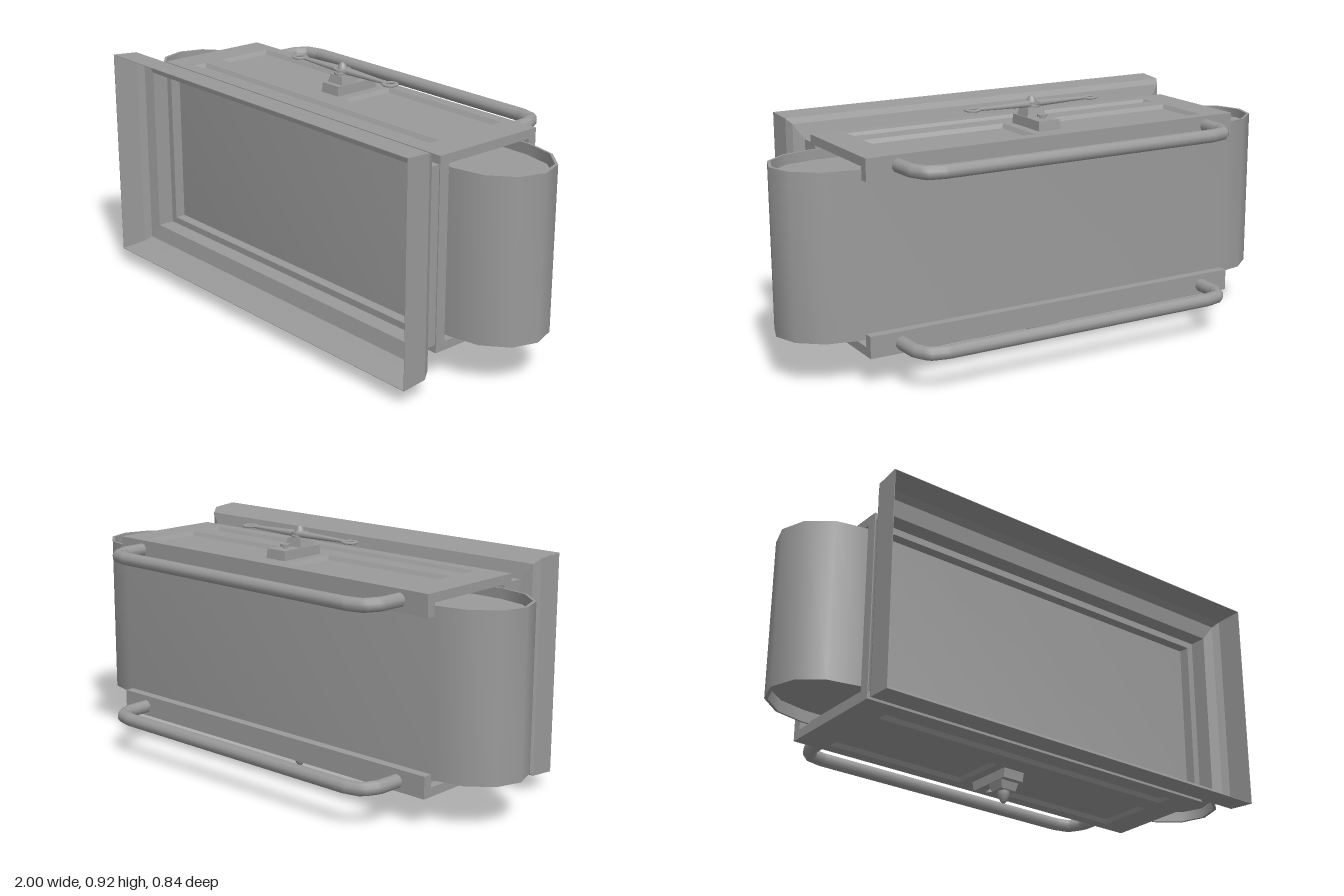
import * as THREE from 'three';
import { toCreasedNormals } from 'three/addons/utils/BufferGeometryUtils.js';

const mat = new THREE.MeshStandardMaterial({ color: 0x9a9a9a });
const CX = -0.01, CY = 0.459; // centre of the housing
const W = 0.761; // half width of the housing

function add(parent, name, geo, x = 0, y = 0, z = 0) {
  const m = new THREE.Mesh(geo, mat);
  m.name = name;
  m.position.set(x, y, z);
  parent.add(m);
  return m;
}

// Box given by its limits
function box(parent, name, x0, x1, y0, y1, z0, z1) {
  return add(parent, name, new THREE.BoxGeometry(x1 - x0, y1 - y0, z1 - z0),
    (x0 + x1) / 2, (y0 + y1) / 2, (z0 + z1) / 2);
}

// Horizontal slab: a plan drawn in (x, -z), extruded from y0 up to y1
function slab(shape, y0, y1) {
  const g = new THREE.ExtrudeGeometry(shape, { depth: y1 - y0, bevelEnabled: false, curveSegments: 3 });
  g.rotateX(-Math.PI / 2).translate(0, y0, 0);
  return toCreasedNormals(g, 0.7);
}

function rect(x0, x1, z0, z1) {
  return new THREE.Shape([[x0, -z1], [x1, -z1], [x1, -z0], [x0, -z0]].map(p => new THREE.Vector2(...p)));
}

// Four-sided block whose top is scaled by t
function frustum(w, h, d, t) {
  const r = Math.SQRT1_2;
  const g = new THREE.CylinderGeometry(r * t, r, 1, 4).rotateY(Math.PI / 4).scale(w, h, d).toNonIndexed();
  g.computeVertexNormals();
  return g;
}

// Rectangular sections [halfWidth, halfHeight, z] joined in order
function rectLoft(sections) {
  const corners = [[1, 1], [-1, 1], [-1, -1], [1, -1]];
  const pos = [];
  const pt = (s, i) => [s[0] * corners[i % 4][0], s[1] * corners[i % 4][1], s[2]];
  for (let k = 0; k < sections.length - 1; k++) {
    for (let i = 0; i < 4; i++) {
      const a = pt(sections[k], i), b = pt(sections[k], i + 1);
      const c = pt(sections[k + 1], i + 1), d = pt(sections[k + 1], i);
      pos.push(...a, ...b, ...c, ...a, ...c, ...d);
    }
  }
  const g = new THREE.BufferGeometry();
  g.setAttribute('position', new THREE.Float32BufferAttribute(pos, 3));
  g.computeVertexNormals();
  return g;
}

// Plan of the round-ended drum, shrunk by insets at the ends and sides
function drumPlan(insetX, insetZ) {
  const s = new THREE.Shape();
  const rx = 0.23 - insetX, rz = 0.187 - insetZ;
  s.absellipse(0.77, 0.008, rx, rz, -Math.PI / 2, Math.PI / 2, false);
  s.absellipse(-0.77, 0.008, rx, rz, Math.PI / 2, Math.PI * 1.5, false);
  s.closePath();
  return s;
}

// Handle line with chamfered corners
function handlePath() {
  const half = [[-0.642, -0.22], [-0.638, -0.325], [-0.61, -0.38], [-0.55, -0.395]];
  const all = [...half, ...half.map(([x, z]) => [-x, z]).reverse()].map(([x, z]) => new THREE.Vector3(x, 0, z));
  const path = new THREE.CurvePath();
  for (let i = 1; i < all.length; i++) path.add(new THREE.LineCurve3(all[i - 1], all[i]));
  return path;
}

// One end of the housing: plate, lip, handle and pivot, built facing up
function endAssembly() {
  const g = new THREE.Group();
  box(g, 'endPlate', -W, W, 0.317, 0.335, -0.235, 0.22);

  // Raised face with recessed panels and a slot, each with sloped walls
  const face = rect(-W, W, -0.235, 0.22);
  const panels = [[-0.643, -0.08, -0.19, 0.035], [0.08, 0.643, -0.19, 0.035], [-0.643, 0.643, 0.11, 0.17]];
  for (const [x0, x1, z0, z1] of panels) {
    face.holes.push(rect(x0, x1, z0, z1));
    const w = (x1 - x0) / 2, d = (z1 - z0) / 2;
    const slope = rectLoft([[w, d, 0.35], [w - 0.011, d - 0.011, 0.335]]).rotateX(-Math.PI / 2);
    add(g, 'panelSlope', slope, (x0 + x1) / 2, 0, (z0 + z1) / 2);
  }
  add(g, 'endPlateFace', slab(face, 0.335, 0.35));
  box(g, 'rearLip', -W, W, 0.27, 0.317, -0.235, -0.2);

  add(g, 'handle', new THREE.TubeGeometry(handlePath(), 120, 0.025, 10, false), 0, 0.313, 0);

  // Pivot block, stepped base, rounded pin and screw
  add(g, 'pivotBlock', frustum(0.09, 0.036, 0.19, 0.95), 0, 0.367, -0.065);
  add(g, 'pivotBase', frustum(0.078, 0.03, 0.074, 0.8), 0, 0.4, -0.032);
  const pin = [[0.022, 0.41], [0.022, 0.424], [0.018, 0.439], [0.011, 0.453], [0.006, 0.458], [0, 0.459]];
  add(g, 'pivotPin', new THREE.LatheGeometry(pin.map(p => new THREE.Vector2(...p)), 16), 0, 0, -0.032);
  add(g, 'screwShank', new THREE.CylinderGeometry(0.01, 0.01, 0.014, 12), 0, 0.39, -0.107);
  add(g, 'screwHead', new THREE.CylinderGeometry(0.018, 0.018, 0.009, 12), 0, 0.3955, -0.107);
  return g;
}

export function createModel() {
  const model = new THREE.Group();

  // Drum: thin wall around a core with recessed ends
  const wall = drumPlan(0, 0);
  wall.holes.push(drumPlan(0.012, 0.008));
  add(model, 'drumWall', slab(wall, 0.167, 0.764));
  add(model, 'drumCore', slab(drumPlan(0.012, 0.02), 0.205, 0.73));
  box(model, 'drumSupport', -0.74, 0.72, 0.142, 0.175, -0.185, 0.179);

  // Housing
  const housing = new THREE.Group();
  housing.name = 'housing';
  housing.position.set(CX, CY, 0);
  model.add(housing);
  for (const [name, turn] of [['topEnd', 0], ['bottomEnd', Math.PI]]) {
    const end = endAssembly();
    end.name = name;
    end.rotation.z = turn;
    housing.add(end);
  }

  // Front frame, open onto the drum
  const frame = rect(-W, W, -0.317, 0.317);
  frame.holes.push(rect(-0.728, 0.728, -0.293, 0.293));
  add(housing, 'frontFrame', new THREE.ExtrudeGeometry(frame, { depth: 0.04, bevelEnabled: false }), 0, 0, 0.18);

  // Flared front hood, outer skin then inner skin
  add(housing, 'frontHood', rectLoft([
    [0.757, 0.32, 0.22], [0.757, 0.32, 0.28], [0.797, 0.377, 0.293], [0.813, 0.395, 0.32],
    [0.818, 0.402, 0.42], [0.816, 0.4, 0.42], [0.811, 0.393, 0.321], [0.796, 0.376, 0.296],
    [0.755, 0.318, 0.284], [0.755, 0.318, 0.22],
  ]));

  // Two-armed lever on the top pivot
  const lever = new THREE.Group();
  lever.name = 'lever';
  lever.position.set(0, 0.428, -0.032);
  housing.add(lever);
  for (const y of [-0.009, 0.004]) {
    add(lever, 'leverWasher', new THREE.CylinderGeometry(0.031, 0.031, 0.007, 20), 0, y, 0);
  }
  for (const s of [1, -1]) {
    const arm = new THREE.CylinderGeometry(0.008, 0.017, 0.215, 8).rotateZ(-s * Math.PI / 2).scale(1, 0.75, 1.2);
    add(lever, 'leverArm', arm, s * 0.122, 0, -0.006);
    const ring = new THREE.TorusGeometry(0.023, 0.009, 8, 20).rotateX(Math.PI / 2).scale(1, 0.55, 1);
    add(lever, 'leverRing', ring, s * 0.248, 0, -0.006);
  }
  return model;
}
